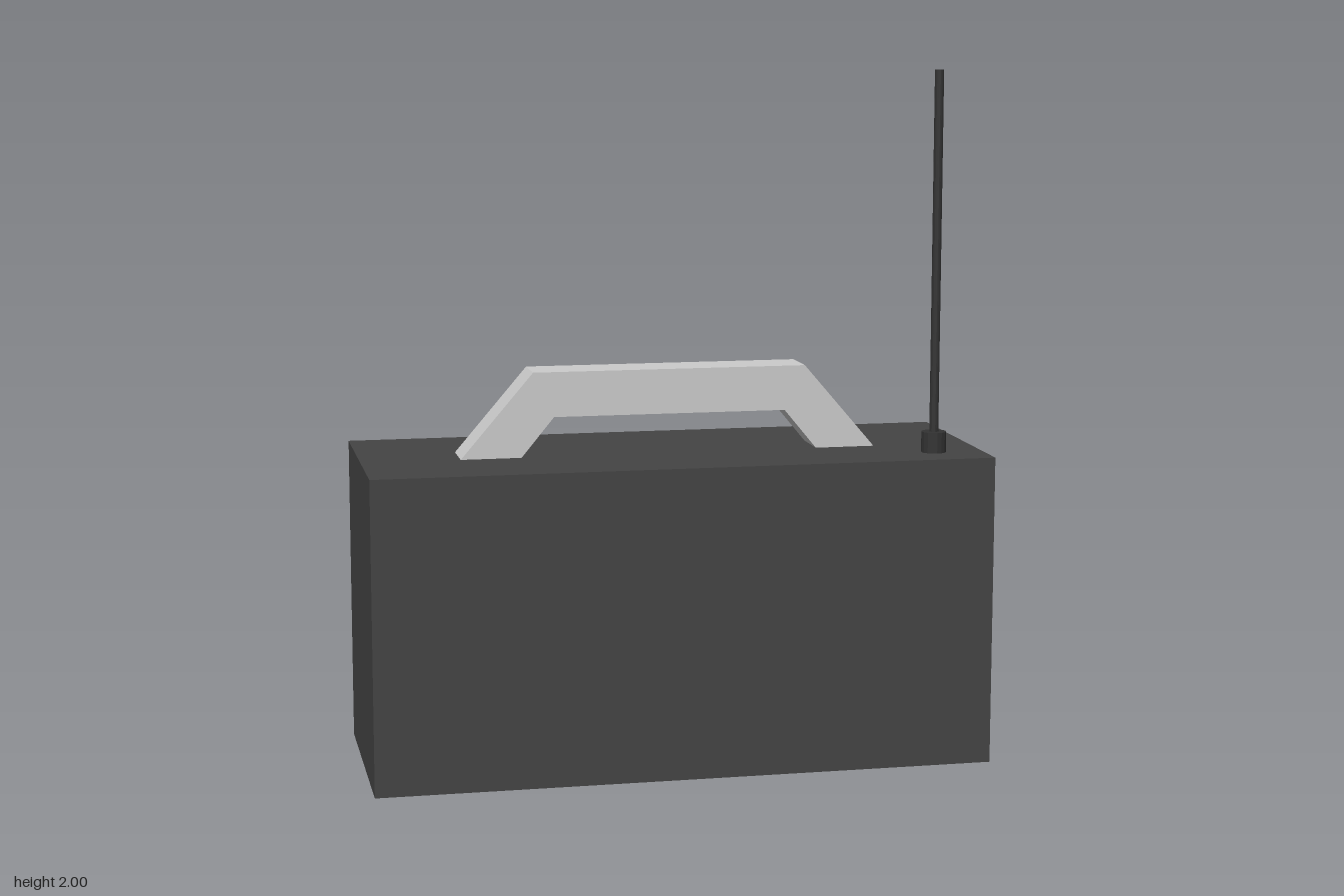
import * as THREE from 'three';

const mat = (color) => new THREE.MeshStandardMaterial({ color, flatShading: true });

export function createModel() {
  const model = new THREE.Group();
  const dark = mat(0x444444), grey = mat(0xcccccc), mid = mat(0x888888), black = mat(0x333333);

  const add = (name, geometry, material) => {
    const mesh = new THREE.Mesh(geometry, material);
    mesh.name = name;
    model.add(mesh);
    return mesh;
  };
  // Box given by its extents on each axis
  const box = (name, [x0, x1], [y0, y1], [z0, z1], material) =>
    add(name, new THREE.BoxGeometry(x1 - x0, y1 - y0, z1 - z0), material)
      .position.set((x0 + x1) / 2, (y0 + y1) / 2, (z0 + z1) / 2);

  // Case
  box('body', [-0.895, 0.895], [0, 0.9], [-0.295, 0.372], dark);

  // Carrying handle: angled bracket extruded across the depth
  const outline = [
    [-0.61, 0.9], [-0.435, 0.9], [-0.34, 1.015], [0.34, 1.015],
    [0.435, 0.9], [0.61, 0.9], [0.4, 1.145], [-0.4, 1.145],
  ].map(([x, y]) => new THREE.Vector2(x, y));
  const handle = new THREE.ExtrudeGeometry(new THREE.Shape(outline), { depth: 0.133, bevelEnabled: false });
  add('handle', handle, grey).position.z = -0.03;

  // Antenna rod and its socket
  const rod = (name, radius, y0, y1) =>
    add(name, new THREE.CylinderGeometry(radius, radius, y1 - y0, 16), black)
      .position.set(0.752, (y0 + y1) / 2, 0.238);
  rod('antennaSocket', 0.036, 0.9, 0.96);
  rod('antennaRod', 0.013, 0.96, 2);

  // Speaker: outer wall, flat rim, sloped funnel and a flat cone disc
  const profile = [[0.358, 0], [0.358, 0.078], [0.32, 0.078], [0.277, 0.013], [0, 0.013]]
    .map(([r, h]) => new THREE.Vector2(r, h));
  const speaker = add('speaker', new THREE.LatheGeometry(profile, 24, Math.PI / 24), grey);
  speaker.material = grey.clone();
  speaker.material.side = THREE.DoubleSide;
  speaker.rotation.x = -Math.PI / 2;
  speaker.position.set(-0.375, 0.453, -0.295);

  // Tuning display
  box('display', [0.105, 0.775], [0.275, 0.54], [-0.326, -0.295], mid);

  // Push buttons above and below the display
  for (const span of [[0.18, 0.355], [0.38, 0.505], [0.53, 0.705]])
    box('upperButton', span, [0.61, 0.705], [-0.371, -0.295], grey);
  for (const span of [[0.555, 0.655], [0.677, 0.777]])
    box('lowerButton', span, [0.115, 0.2], [-0.371, -0.295], grey);

  return model;
}
